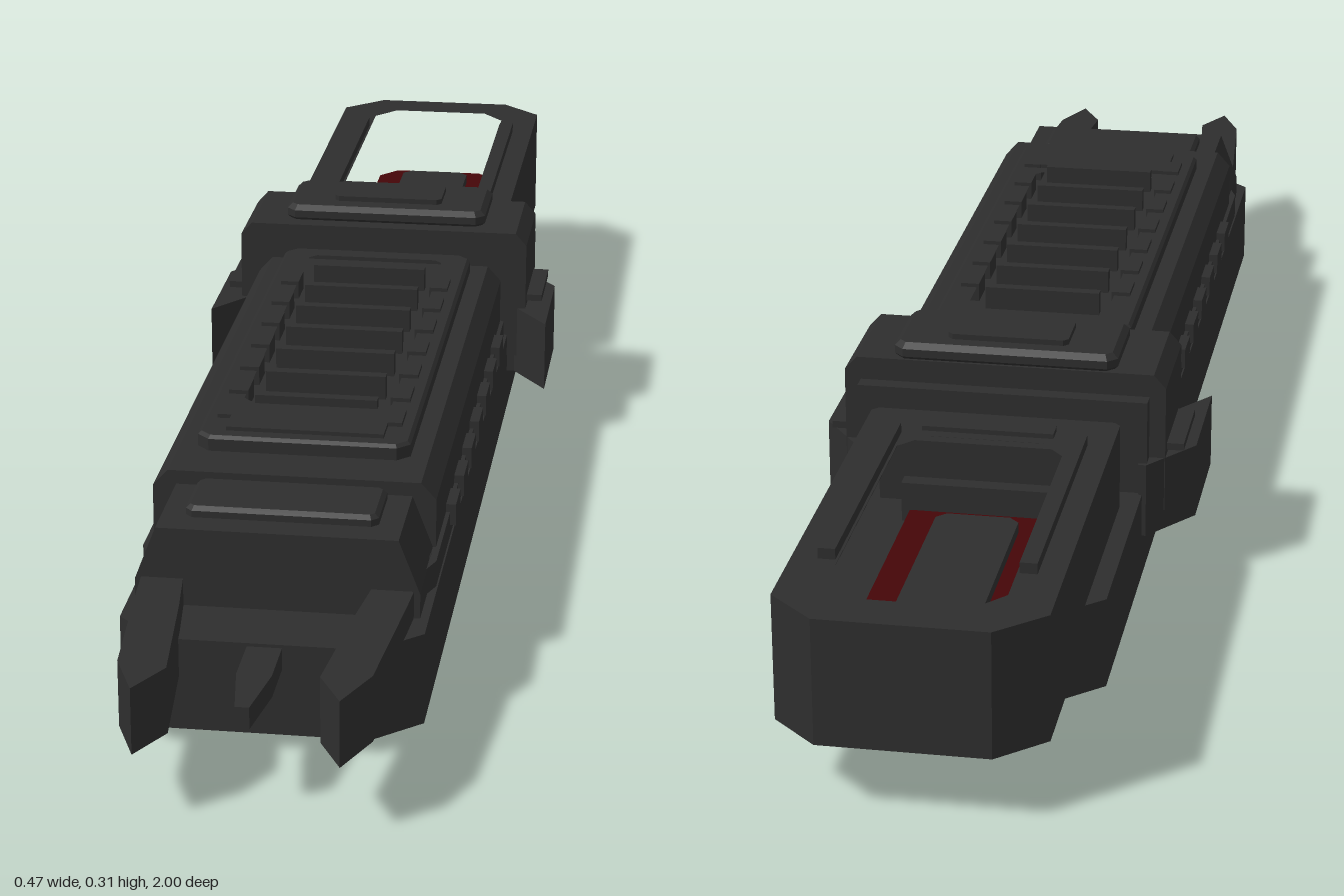
import * as THREE from 'three';

const grey = new THREE.MeshStandardMaterial({ color: 0x2e2e2e });
grey.name = 'dark grey';
const red = new THREE.MeshStandardMaterial({ color: 0x450608 });
red.name = 'deep red';

export function createModel() {
  const model = new THREE.Group();

  const add = (name, geometry, material = grey) => {
    const mesh = new THREE.Mesh(geometry, material);
    mesh.name = name;
    model.add(mesh);
    return mesh;
  };
  const box = (name, x0, x1, y0, y1, z0, z1, material) => {
    const g = new THREE.BoxGeometry(x1 - x0, y1 - y0, z1 - z0);
    g.translate((x0 + x1) / 2, (y0 + y1) / 2, (z0 + z1) / 2);
    return add(name, g, material);
  };
  // Rectangle in x, z with cut corners; w is the half width
  const cutRect = (w, z0, z1, cx, cz = cx, frontX = cx, frontZ = cz) => [
    [-w + cx, z0], [w - cx, z0], [w, z0 + cz], [w, z1 - frontZ],
    [w - frontX, z1], [-w + frontX, z1], [-w, z1 - frontZ], [-w, z0 + cz],
  ];
  const vectors = (pts) => pts.map(([x, z]) => new THREE.Vector2(x, -z));
  // Plan outline raised from y0 to y1, with optional hole and bevel
  const plan = (name, pts, y0, y1, { hole, bevel = 0, material } = {}) => {
    const shape = new THREE.Shape(vectors(pts));
    if (hole) shape.holes.push(new THREE.Path(vectors(hole)));
    const g = new THREE.ExtrudeGeometry(shape, {
      depth: y1 - y0 - 2 * bevel, bevelEnabled: bevel > 0, bevelSegments: 1,
      bevelSize: bevel, bevelThickness: bevel, bevelOffset: -bevel,
    });
    g.rotateX(-Math.PI / 2).translate(0, y0 + bevel, 0);
    return add(name, g, material);
  };
  // Mirrored cross-section in x, y run from z0 to z1
  const section = (name, half, z0, z1) => {
    const all = [...half, ...half.map(([x, y]) => [-x, y]).reverse()];
    const shape = new THREE.Shape(all.map(([x, y]) => new THREE.Vector2(x, y)));
    const g = new THREE.ExtrudeGeometry(shape, { depth: z1 - z0, bevelEnabled: false });
    return add(name, g.translate(0, 0, z0));
  };

  // Lower hull and belly plates
  plan('lowerHull', cutRect(0.175, -0.74, 0.8, 0.055, 0.05), 0.018, 0.13);
  plan('bellyPlate', cutRect(0.112, -0.37, 0.6, 0.02), 0.006, 0.022, { bevel: 0.005 });
  plan('bellyPanel', cutRect(0.085, -0.28, 0.48, 0.01), 0, 0.008);

  // Upper deck: ledge, sloped body and stepped nose
  plan('deckLedge', cutRect(0.173, -0.2, 0.7, 0.005, 0.005, 0.03, 0.08), 0.128, 0.162);
  section('deckBody', [[0.168, 0.16], [0.168, 0.222], [0.15, 0.242]], -0.195, 0.58);
  section('deckNose', [[0.165, 0.128], [0.165, 0.16], [0.14, 0.225]], 0.5, 0.71);
  plan('nosePlate', cutRect(0.112, 0.585, 0.675, 0.008), 0.22, 0.238, { bevel: 0.005 });
  box('deckNeck', -0.15, 0.15, 0.128, 0.19, -0.25, -0.19);

  // Top panel with a recessed window
  const window = cutRect(0.095, -0.16, 0.4, 0.012);
  plan('topPanel', cutRect(0.128, -0.185, 0.515, 0.015), 0.238, 0.261, { hole: window, bevel: 0.004 });
  box('frontPad', -0.095, 0.095, 0.255, 0.266, 0.415, 0.495);

  // Seven slats, with side tabs between them
  for (let i = 0; i < 7; i++) {
    const z = -0.09 + i * 0.081;
    box('slat', -0.075, 0.075, 0.24, 0.272, z - 0.007, z + 0.007);
    for (const s of [-1, 1]) {
      const tab = box('slatTab', -0.012, 0.012, 0.24, 0.266, z + 0.018, z + 0.06);
      tab.position.x = s * 0.1;
    }
  }

  // Blocks along the side ledges
  for (let i = 0; i < 7; i++) {
    const z = -0.09 + i * 0.09;
    for (const s of [-1, 1]) {
      const block = box('sideBlock', -0.01, 0.01, 0.145, 0.172, z - 0.025, z + 0.025);
      block.position.x = s * 0.17;
    }
  }

  // Clamp band with top cap
  section('clampBand', [[0.2, 0.1], [0.2, 0.262], [0.185, 0.279]], -0.375, -0.23);
  box('clampRear', -0.18, 0.18, 0.1, 0.25, -0.395, -0.37);
  plan('clampCap', cutRect(0.139, -0.375, -0.25, 0.012), 0.276, 0.3, { bevel: 0.007 });
  plan('clampCapPlate', cutRect(0.075, -0.35, -0.28, 0.006), 0.299, 0.307);

  for (const s of [-1, 1]) {
    // Clamp ears and thin flanges
    plan('clampEar', [[0.17, -0.4], [0.18, -0.4], [0.233, -0.33], [0.233, -0.17],
      [0.185, -0.235], [0.17, -0.235]].map(([x, z]) => [s * x, z]), 0.075, 0.17);
    const flange = box('clampFlange', -0.015, 0.015, 0.175, 0.184, -0.36, -0.25);
    flange.position.x = s * 0.206;

    // Front outer prongs
    plan('outerProng', [[0.165, 0.6], [0.155, 0.75], [0.14, 0.93], [0.113, 0.995], [0.084, 0.94],
      [0.1, 0.78], [0.11, 0.7], [0.11, 0.6]].map(([x, z]) => [s * x, z]), 0.084, 0.163);
    // Rails along the top of the rear handle
    const rail = box('handleRail', -0.01, 0.01, 0.23, 0.25, -0.855, -0.5);
    rail.position.x = s * 0.113;
  }
  plan('centreProng', [[-0.02, 0.78], [0.02, 0.78], [0.02, 0.87], [0.008, 0.95],
    [-0.008, 0.95], [-0.02, 0.87]], 0.1, 0.126);

  // Rear handle loop
  plan('handleLoop', cutRect(0.153, -1, -0.43, 0.055, 0.05, 0.008, 0.008), 0.085, 0.237,
    { hole: cutRect(0.1, -0.945, -0.505, 0.03, 0.035) });
  box('handleNeck', -0.14, 0.14, 0.128, 0.21, -0.46, -0.38);
  box('handleFrontRail', -0.08, 0.08, 0.23, 0.243, -0.49, -0.465);

  // Red insert with a dark centre panel
  plan('redInsert', cutRect(0.09, -0.92, -0.52, 0.025, 0.03, 0.001, 0.001), 0.128, 0.145, { material: red });
  plan('insertPanel', cutRect(0.05, -0.88, -0.55, 0.012), 0.144, 0.158);
  box('insertFrontWall', -0.1, 0.1, 0.128, 0.18, -0.52, -0.5);

  return model;
}
